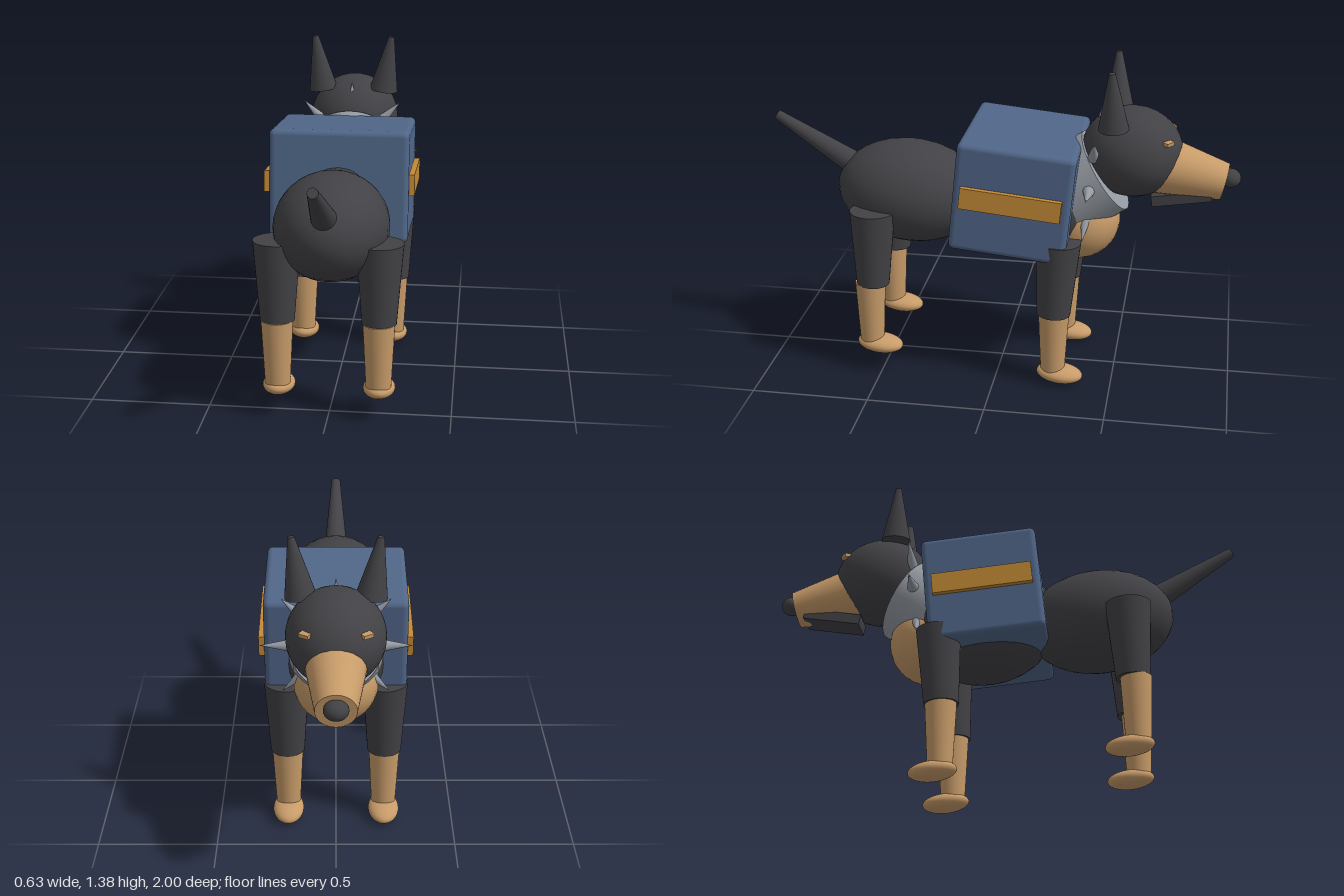
import * as THREE from 'three';
import { RoundedBoxGeometry } from 'three/addons/geometries/RoundedBoxGeometry.js';

const mat = (name, color) => {
  const m = new THREE.MeshStandardMaterial({ color });
  m.name = name;
  return m;
};
const V = (x, y, z) => new THREE.Vector3(x, y, z);
const UP = V(0, 1, 0);

export function createModel() {
  const group = new THREE.Group();
  const coat = mat('dark coat', 0x424246);
  const tan = mat('tan fur', 0xc79b69);
  const blue = mat('blue pack', 0x506688);
  const orange = mat('orange strap', 0xc48a35);
  const steel = mat('steel', 0x959ba3);
  const PITCH = -0.098; // the whole body leans slightly nose-down

  function add(name, geometry, material, pos, rx = 0) {
    const mesh = new THREE.Mesh(geometry, material);
    mesh.name = name;
    mesh.position.copy(pos);
    mesh.rotation.x = rx;
    group.add(mesh);
    return mesh;
  }
  function ellipsoid(name, material, pos, rx, ry, rz, tilt = PITCH) {
    return add(name, new THREE.SphereGeometry(1, 32, 20).scale(rx, ry, rz), material, pos, tilt);
  }
  // Tapered round rod from a to b
  function rod(name, material, a, b, ra, rb, sides = 32) {
    const d = b.clone().sub(a);
    const mesh = add(name, new THREE.CylinderGeometry(rb, ra, d.length(), sides), material,
      a.clone().add(b).multiplyScalar(0.5));
    mesh.quaternion.setFromUnitVectors(UP, d.normalize());
    return mesh;
  }

  // Body
  ellipsoid('hindBody', coat, V(0, 0.78, 0.4), 0.235, 0.22, 0.32);
  ellipsoid('chest', coat, V(0, 0.79, -0.1), 0.265, 0.265, 0.32);
  ellipsoid('chestPatch', tan, V(0, 0.7, -0.33), 0.175, 0.175, 0.175);
  rod('tail', coat, V(0, 0.865, 0.62), V(0, 1.09, 0.985), 0.055, 0.021);

  // Pack with a side strap on each side
  add('pack', new RoundedBoxGeometry(0.585, 0.47, 0.49, 4, 0.025), blue, V(0, 0.848, -0.078), PITCH);

  // Neck collar
  rod('collar', steel, V(0, 0.785, -0.23), V(0, 0.92, -0.437), 0.197, 0.187, 40);
  for (let i = 0; i < 8; i++) {
    const a = (i / 8) * Math.PI * 2;
    const dir = V(Math.cos(a), Math.sin(a), 0).applyAxisAngle(V(1, 0, 0), PITCH);
    const c = V(0, 0.89, -0.385);
    rod('collarSpike', steel, c.clone().addScaledVector(dir, 0.18),
      c.clone().addScaledVector(dir, 0.305), 0.026, 0.001, 16);
  }

  // Head
  ellipsoid('head', coat, V(0, 1.012, -0.547), 0.197, 0.19, 0.212);
  rod('muzzle', tan, V(0, 0.964, -0.64), V(0, 0.897, -0.932), 0.127, 0.079);
  ellipsoid('nose', coat, V(0, 0.915, -0.957), 0.048, 0.039, 0.043);
  add('jaw', new THREE.BoxGeometry(0.12, 0.045, 0.25), coat, V(0, 0.83, -0.76), 0.16);

  for (const s of [1, -1]) {
    add('packStrap', new THREE.BoxGeometry(0.03, 0.09, 0.42), orange, V(s * 0.301, 0.857, -0.077), PITCH);
    rod('ear', coat, V(s * 0.137, 1.148, -0.475), V(s * 0.171, 1.39, -0.466), 0.063, 0.013);
    const brow = add('eyebrow', new THREE.BoxGeometry(0.045, 0.016, 0.03), tan, V(s * 0.115, 1.09, -0.697), PITCH);
    brow.rotation.order = 'YXZ';
    brow.rotation.y = -s * 0.6;

    // Hind leg
    const x = s * 0.205;
    rod('hindUpperLeg', coat, V(x, 0.755, 0.525), V(x, 0.42, 0.533), 0.096, 0.07);
    rod('hindLowerLeg', tan, V(x, 0.425, 0.545), V(x, 0.14, 0.545), 0.065, 0.051);
    ellipsoid('hindPaw', tan, V(x, 0.132, 0.51), 0.066, 0.039, 0.1);

    // Front leg
    rod('frontUpperLeg', coat, V(x, 0.67, -0.268), V(x, 0.335, -0.25), 0.094, 0.072);
    rod('frontLowerLeg', tan, V(x, 0.34, -0.252), V(x, 0.06, -0.25), 0.066, 0.051);
    ellipsoid('frontPaw', tan, V(x, 0.05, -0.28), 0.066, 0.039, 0.1);
  }
  return group;
}
